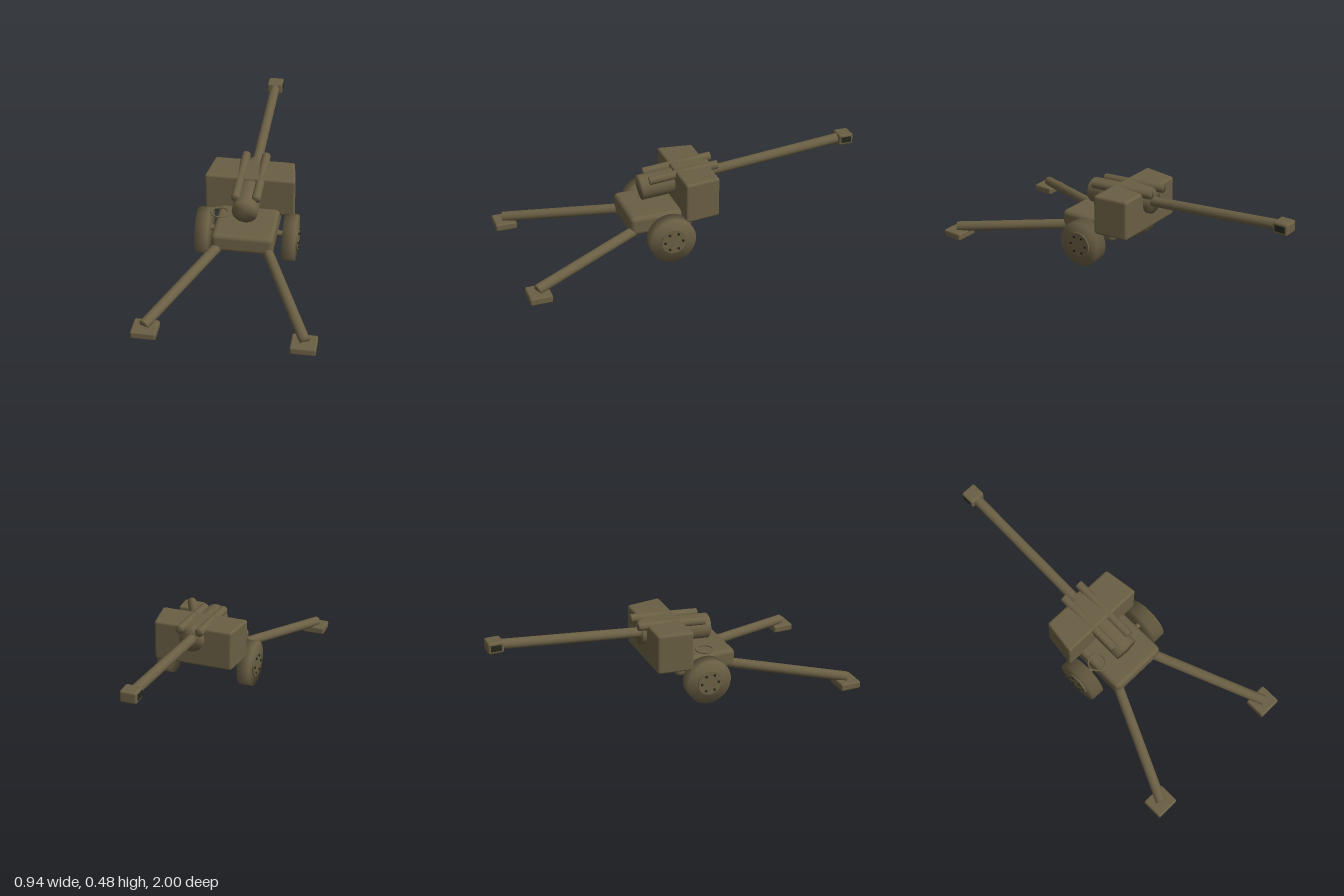
import * as THREE from 'three';
import { mergeVertices } from 'three/addons/utils/BufferGeometryUtils.js';
import { RoundedBoxGeometry } from 'three/addons/geometries/RoundedBoxGeometry.js';

export function createModel() {
  const model = new THREE.Group();
  model.name = 'fieldGun';
  const olive = new THREE.MeshStandardMaterial({ color: 0x6a5f44 });
  olive.name = 'olive paint';
  const dark = new THREE.MeshStandardMaterial({ color: 0x25271c });
  dark.name = 'dark metal';

  const add = (name, geometry, material = olive, parent = model) => {
    const mesh = new THREE.Mesh(geometry, material);
    mesh.name = name;
    parent.add(mesh);
    return mesh;
  };

  // Cylinder whose normals run smoothly over the rims
  const softCylinder = (radius, length, sides = 32) => {
    const g = new THREE.CylinderGeometry(radius, radius, length, sides);
    g.deleteAttribute('uv');
    g.deleteAttribute('normal');
    const merged = mergeVertices(g, 1e-5);
    merged.computeVertexNormals();
    return merged;
  };

  // Rod between two points
  const rod = (name, a, b, radius) => {
    const from = new THREE.Vector3(...a), to = new THREE.Vector3(...b);
    const dir = to.clone().sub(from);
    const mesh = add(name, softCylinder(radius, dir.length()));
    mesh.position.copy(from).add(to).multiplyScalar(0.5);
    mesh.quaternion.setFromUnitVectors(new THREE.Vector3(0, 1, 0), dir.normalize());
    return mesh;
  };

  // Rounded block given by its limits
  const block = (name, x0, x1, y0, y1, z0, z1, r, seg = 3) => {
    const mesh = add(name, new RoundedBoxGeometry(x1 - x0, y1 - y0, z1 - z0, seg, r));
    mesh.position.set((x0 + x1) / 2, (y0 + y1) / 2, (z0 + z1) / 2);
    return mesh;
  };

  // Carriage body
  block('carriageBody', -0.168, 0.168, 0.135, 0.244, 0.01, 0.365, 0.026, 2);

  // Deep shield, narrowing towards the muzzle
  const shield = block('shield', -0.25, 0.25, 0.207, 0.435, -0.123, 0.077, 0.014);
  const sp = shield.geometry.attributes.position;
  for (let i = 0; i < sp.count; i++) {
    sp.setX(i, sp.getX(i) * (0.945 + 0.55 * sp.getZ(i)));
  }
  shield.geometry.computeVertexNormals();

  // Gun tube, cradle and recoil cylinders
  rod('breech', [0, 0.337, 0.26], [0, 0.37, -0.14], 0.07);
  rod('barrel', [0, 0.365, -0.1], [0, 0.447, -0.93], 0.028);
  for (const s of [-1, 1]) {
    rod('recoilCylinder', [s * 0.056, 0.398, 0.222], [s * 0.056, 0.432, -0.168], 0.024);
  }

  // Muzzle brake with dark side ports
  block('muzzleBrake', -0.045, 0.045, 0.415, 0.48, -1, -0.914, 0.012);
  for (const s of [-1, 1]) {
    const port = add('muzzlePort', new THREE.BoxGeometry(0.004, 0.034, 0.058), dark);
    port.position.set(s * 0.0445, 0.448, -0.957);
  }

  // Trail legs and spades
  for (const s of [-1, 1]) {
    rod('trailLeg', [s * 0.1, 0.163, 0.26], [s * 0.408, 0.07, 0.945], 0.028);
    const x = s * 0.405;
    block('foot', x - 0.066, x + 0.066, 0.015, 0.058, 0.88, 1, 0.01);
  }

  // Wheels with hub discs and bolts
  for (const s of [-1, 1]) {
    const wheel = new THREE.Group();
    wheel.name = s > 0 ? 'leftWheel' : 'rightWheel';
    wheel.position.set(s * 0.239, 0.129, 0.16);
    wheel.rotation.z = -s * Math.PI / 2;
    add('tyre', softCylinder(0.128, 0.072, 40), olive, wheel);
    add('hub', new THREE.CylinderGeometry(0.07, 0.07, 0.008, 32), olive, wheel).position.y = 0.04;
    for (let i = 0; i < 6; i++) {
      const a = i * Math.PI / 3;
      const bolt = add('wheelBolt', new THREE.CylinderGeometry(0.007, 0.007, 0.012, 10), dark, wheel);
      bolt.position.set(0.05 * Math.sin(a), 0.044, 0.05 * Math.cos(a));
    }
    model.add(wheel);
  }

  // Axle inside the carriage
  rod('axle', [-0.22, 0.15, 0.16], [0.22, 0.15, 0.16], 0.015);

  // Aiming handwheel
  const handwheel = add('handwheel', new THREE.TorusGeometry(0.047, 0.005, 10, 36));
  handwheel.rotation.x = Math.PI / 2;
  handwheel.position.set(-0.149, 0.27, 0.183);

  return model;
}
